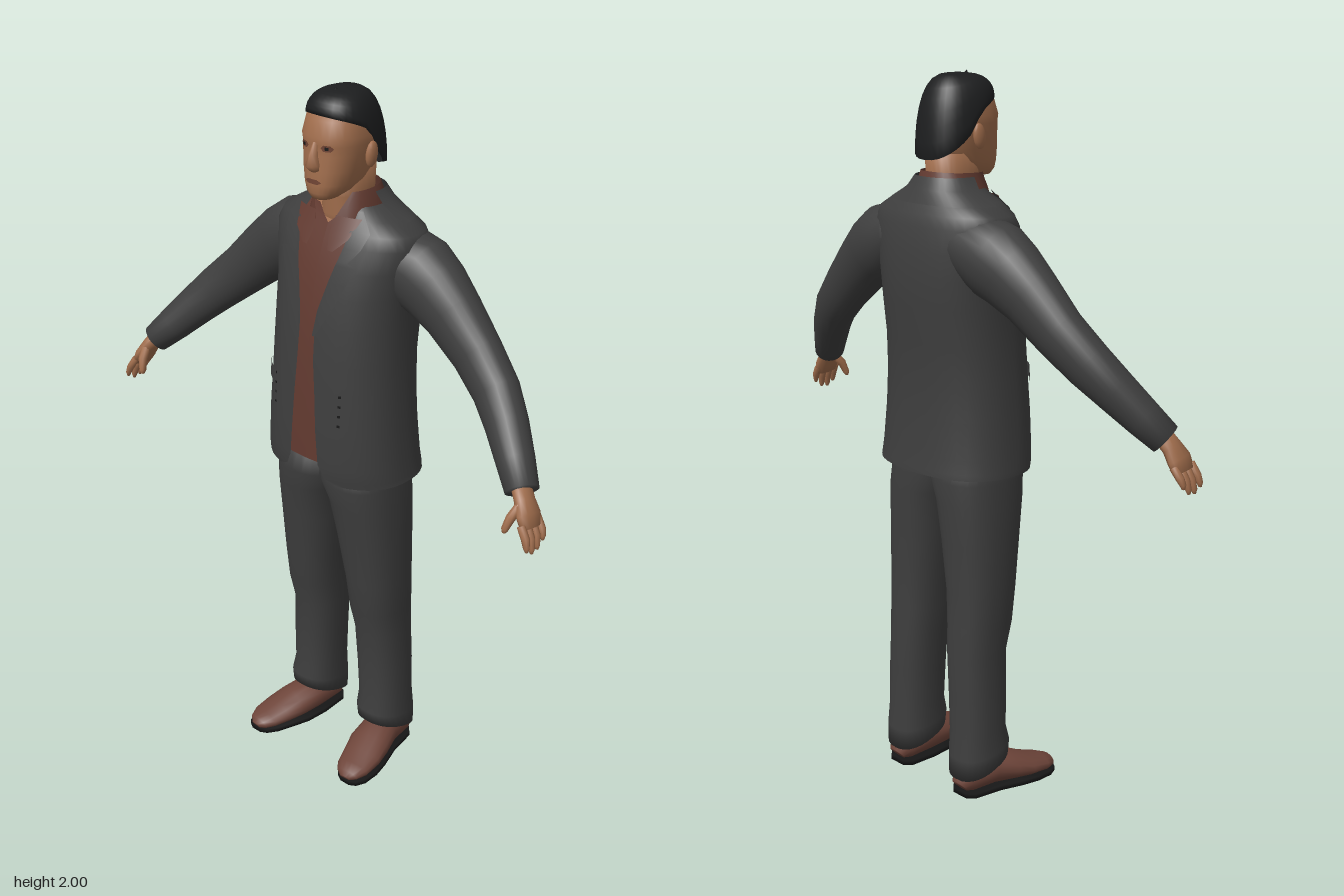
import * as THREE from 'three';

const E = 0.85; // slightly boxy ellipse exponent
const V3 = (x, y, z) => new THREE.Vector3(x, y, z);
const spow = (v) => Math.sign(v) * Math.pow(Math.abs(v), E);
const lerp = THREE.MathUtils.lerp;

const mat = (name, color, side = THREE.FrontSide) => {
  const m = new THREE.MeshStandardMaterial({ color, side });
  m.name = name;
  return m;
};

// Skin a list of rings (equal point counts), optionally closed and capped
function loft(rings, closed = true, cap = true) {
  const list = [...rings];
  if (cap) {
    const mid = (r) => {
      const c = r.reduce((s, p) => s.add(p), V3(0, 0, 0)).divideScalar(r.length);
      return r.map(() => c.clone());
    };
    list.unshift(mid(rings[0]));
    list.push(mid(rings[rings.length - 1]));
  }
  const n = list[0].length, idx = [];
  for (let i = 0; i < list.length - 1; i++) {
    for (let j = 0; j < (closed ? n : n - 1); j++) {
      const a = i * n + j, b = i * n + (j + 1) % n;
      idx.push(a, b, a + n, b, b + n, a + n);
    }
  }
  const g = new THREE.BufferGeometry().setFromPoints(list.flat());
  g.setIndex(idx);
  g.computeVertexNormals();
  return g;
}

// Point on a horizontal section [y, xMin, xMax, zFront, zBack], angle 0 = front
function onSection([y, x0, x1, zf, zb], a, off = 0, slope = 0) {
  const z = (zf + zb) / 2 + ((zf - zb) / 2 + off) * spow(Math.cos(a));
  return V3((x0 + x1) / 2 + ((x1 - x0) / 2 + off) * spow(Math.sin(a)), y + slope * z, z);
}
const arc = (r, a0, a1, n, off, slope) =>
  Array.from({ length: n + 1 }, (_, j) => onSection(r, lerp(a0, a1, j / n), off, slope));
const ring = (r, off, slope) => arc(r, 0, Math.PI * 2, 28, off, slope).slice(0, 28);
const sym = (rows) => rows.map(([y, w, zf, zb]) => [y, -w, w, zf, zb]);
const angleAt = (r, x) => Math.sign(x) * Math.asin(Math.min(1, Math.pow(Math.abs(x) / r[2], 1 / E)));

function rowAt(rows, y) {
  let i = 0;
  while (i < rows.length - 2 && rows[i + 1][0] < y) i++;
  const t = (y - rows[i][0]) / (rows[i + 1][0] - rows[i][0]);
  return rows[i].map((v, k) => lerp(v, rows[i + 1][k], t));
}

// Thin panel following a body surface; spans are [y, xFrom, xTo]
const patch = (rows, spans, off) => loft(spans.map(([y, xa, xb]) => {
  const r = rowAt(rows, y);
  return arc(r, angleAt(r, xa), angleAt(r, xb), 6, off);
}), false, false);

// Tapered limb along points [x, y, z, radiusAlongHint, radiusAcross]
function limb(pts, hint, n = 16) {
  const c = pts.map((p) => V3(p[0], p[1], p[2]));
  return loft(pts.map((p, i) => {
    const T = c[Math.min(i + 1, c.length - 1)].clone().sub(c[Math.max(i - 1, 0)]).normalize();
    const U = hint.clone().addScaledVector(T, -hint.dot(T)).normalize();
    const W = T.clone().cross(U);
    return Array.from({ length: n }, (_, j) => {
      const a = j / n * Math.PI * 2;
      return c[i].clone().addScaledVector(U, p[3] * Math.cos(a)).addScaledVector(W, p[4] * Math.sin(a));
    });
  }));
}

function mirrored(geo) {
  const g = geo.clone().scale(-1, 1, 1);
  const ix = Array.from(g.index.array);
  for (let i = 0; i < ix.length; i += 3) [ix[i], ix[i + 1]] = [ix[i + 1], ix[i]];
  g.setIndex(ix);
  g.computeVertexNormals();
  return g;
}

export function createModel() {
  const model = new THREE.Group();
  model.name = 'manInSuit';
  const suit = mat('charcoalCloth', 0x3e3e3e, THREE.DoubleSide);
  const shirtMat = mat('brownShirt', 0x623a30, THREE.DoubleSide);
  const skin = mat('skin', 0xa06d4c);
  const hairMat = mat('blackHair', 0x1d1e1f, THREE.DoubleSide);
  const leather = mat('brownLeather', 0x6e453a);
  const black = mat('blackSole', 0x161616);
  const lip = mat('lipsAndLids', 0x6e4333);

  const add = (name, geo, m) => {
    const mesh = new THREE.Mesh(geo, m);
    mesh.name = name;
    model.add(mesh);
  };
  const pair = (name, geo, m) => {
    add(name + 'Left', geo, m);
    add(name + 'Right', mirrored(geo), m);
  };

  // Torso sections: y, half width, front z, back z
  const torso = sym([
    [0.945, 0.226, 0.148, -0.18], [0.96, 0.225, 0.152, -0.179], [1.0, 0.221, 0.156, -0.174],
    [1.1, 0.213, 0.155, -0.167], [1.2, 0.205, 0.15, -0.166], [1.3, 0.2, 0.145, -0.172],
    [1.4, 0.2, 0.135, -0.184], [1.48, 0.205, 0.12, -0.187], [1.55, 0.218, 0.104, -0.184],
    [1.61, 0.23, 0.082, -0.174], [1.642, 0.215, 0.068, -0.163], [1.672, 0.165, 0.056, -0.146],
    [1.7, 0.1, 0.046, -0.13],
  ]);

  // Open jacket: half width of the front gap at each section
  const gaps = [0.105, 0.07, 0.05, 0.042, 0.036, 0.028, 0.026, 0.042, 0.062, 0.078, 0.082, 0.085, 0.08];
  add('jacketBody', loft(torso.map((r, i) => {
    const a = angleAt(r, gaps[i]);
    return arc(r, a, Math.PI * 2 - a, 36);
  }), false, false), suit);
  pair('lapel', patch(torso, [[1.37, 0.024, 0.032], [1.44, 0.033, 0.07], [1.52, 0.054, 0.105],
    [1.565, 0.066, 0.128], [1.575, 0.069, 0.1], [1.61, 0.078, 0.125], [1.65, 0.083, 0.135],
    [1.695, 0.08, 0.09]], 0.007), suit);
  pair('pocketFlap', patch(torso, [[1.185, 0.1, 0.18], [1.225, 0.1, 0.18]], 0.005), suit);
  for (let i = 0; i < 4; i++) {
    const y = 1.13 + i * 0.028;
    pair('button' + i, patch(torso, [[y, 0.108, 0.115], [y + 0.007, 0.108, 0.115]], 0.006), black);
  }
  const jacketCollar = sym([[1.665, 0.178, 0.058, -0.15], [1.7, 0.112, 0.05, -0.136], [1.732, 0.088, 0.044, -0.12]]);
  add('jacketCollar', loft(jacketCollar.map((r) => arc(r, 1.5, Math.PI * 2 - 1.5, 20)), false, false), suit);

  // Shirt closed to the throat, with the neck base beneath it
  const shirtRows = [1.0, 1.1, 1.2, 1.3, 1.4, 1.48, 1.55, 1.61, 1.65, 1.67, 1.69].map((y) => rowAt(torso, y));
  add('shirtBody', loft(shirtRows.map((r) => {
    const a = angleAt(r, Math.max(0, (r[0] - 1.65) * 1.2));
    return arc(r, a, Math.PI * 2 - a, 36, -0.011);
  }), false, false), shirtMat);
  add('shirtHem', loft([ring(shirtRows[0], -0.012), ring(rowAt(torso, 1.02), -0.012)]), shirtMat);
  add('neckBase', loft([1.6, 1.64, 1.69].map((y) => ring(rowAt(torso, y), -0.018))), skin);
  const collar = sym([[1.66, 0.1, 0.072, -0.125], [1.7, 0.092, 0.062, -0.117], [1.74, 0.078, 0.05, -0.105]]);
  add('shirtCollar', loft(collar.map((r, i) => {
    const a = angleAt(r, [0.026, 0.045, 0.06][i]);
    return arc(r, a, Math.PI * 2 - a, 28, 0, -0.04);
  }), false, false), shirtMat);
  pair('collarPoint', patch(torso, [[1.595, 0.035, 0.05], [1.63, 0.026, 0.085], [1.68, 0.032, 0.1]], 0.009), shirtMat);

  // Sleeves, blending into the shoulders
  pair('sleeve', limb([
    [0.05, 1.575, -0.066, 0.095, 0.06], [0.14, 1.56, -0.067, 0.096, 0.092], [0.215, 1.532, -0.067, 0.092, 0.105],
    [0.265, 1.503, -0.064, 0.083, 0.098], [0.33, 1.455, -0.058, 0.071, 0.086],
    [0.42, 1.375, -0.048, 0.06, 0.074], [0.5, 1.305, -0.026, 0.057, 0.067], [0.56, 1.245, 0.006, 0.054, 0.059],
    [0.62, 1.18, 0.045, 0.049, 0.051], [0.668, 1.128, 0.078, 0.045, 0.042],
  ], V3(0, 0, 1), 24), suit);

  // Hands: palm, four fingers and a thumb
  pair('palm', limb([[0.655, 1.145, 0.07, 0.028, 0.024], [0.682, 1.11, 0.085, 0.031, 0.022],
    [0.701, 1.08, 0.093, 0.041, 0.02], [0.715, 1.05, 0.097, 0.039, 0.014]], V3(0, 0, 1), 12), skin);
  [[0.064, 1.012], [0.086, 0.995], [0.108, 0.992], [0.13, 1.005]].forEach(([z, tip], i) => {
    pair('finger' + i, limb([[0.708, 1.065, z, 0.011, 0.011], [0.727, (1.065 + tip) / 2, z + 0.005, 0.011, 0.011],
      [0.734, tip + 0.01, z + 0.009, 0.008, 0.008], [0.735, tip, z + 0.009, 0.004, 0.004]], V3(0, 0, 1), 8), skin);
  });
  pair('thumb', limb([[0.686, 1.105, 0.105, 0.014, 0.014], [0.675, 1.075, 0.13, 0.013, 0.013],
    [0.667, 1.045, 0.14, 0.01, 0.01], [0.666, 1.035, 0.142, 0.005, 0.005]], V3(1, 0, 0), 8), skin);

  // Trouser legs: y, inner x, outer x, front z, back z
  const legRows = [
    [0.1, 0.06, 0.205, 0.037, -0.135], [0.14, 0.057, 0.207, 0.04, -0.134], [0.19, 0.06, 0.199, 0.03, -0.13],
    [0.3, 0.055, 0.198, 0.033, -0.13], [0.42, 0.048, 0.192, 0.038, -0.13], [0.5, 0.042, 0.197, 0.058, -0.127],
    [0.6, 0.034, 0.2, 0.07, -0.125], [0.75, 0.012, 0.2, 0.09, -0.13], [0.86, -0.006, 0.197, 0.108, -0.137],
    [0.92, -0.035, 0.193, 0.118, -0.137], [1.03, -0.04, 0.186, 0.122, -0.135],
  ];
  pair('trouserLeg', loft(legRows.map((r, i) => ring(r, 0, i === 0 ? 0.35 : i === 1 ? 0.2 : 0))), suit);

  // Shoes along z: z, centre x, half width, top height
  const shoeRows = [[-0.125, 0.135, 0.027, 0.05], [-0.105, 0.135, 0.046, 0.085], [-0.02, 0.14, 0.055, 0.105],
    [0.05, 0.155, 0.063, 0.085], [0.1, 0.169, 0.06, 0.064], [0.15, 0.178, 0.051, 0.05],
    [0.178, 0.181, 0.035, 0.04], [0.189, 0.182, 0.016, 0.028]];
  pair('shoe', limb(shoeRows.map(([z, x, w, h]) => [x, h / 2 + 0.005, z, h / 2 - 0.003, w]), V3(0, 1, 0)), leather);
  const soleRing = (y) => [...shoeRows.map(([z, x, w]) => V3(x + w, y, z)).reverse(),
    ...shoeRows.map(([z, x, w]) => V3(x - w, y, z))];
  pair('sole', loft([soleRing(0), soleRing(0.014)]), black);

  // Head and neck
  add('neck', loft(sym([[1.6, 0.07, 0.04, -0.1], [1.67, 0.062, 0.045, -0.1], [1.72, 0.058, 0.046, -0.097],
    [1.79, 0.062, 0.05, -0.1]]).map((r) => ring(r))), skin);
  const head = sym([[1.725, 0.03, 0.1, 0.02], [1.742, 0.05, 0.108, -0.02], [1.765, 0.064, 0.109, -0.06],
    [1.8, 0.075, 0.107, -0.085], [1.84, 0.083, 0.103, -0.095], [1.865, 0.086, 0.101, -0.097],
    [1.885, 0.087, 0.104, -0.096], [1.925, 0.082, 0.089, -0.088], [1.945, 0.072, 0.074, -0.075], [1.97, 0.035, 0.035, -0.05]]);
  add('head', loft(head.map((r) => ring(r))), skin);
  add('nose', limb([[0, 1.805, 0.1, 0.014, 0.018], [0, 1.818, 0.107, 0.024, 0.019],
    [0, 1.84, 0.103, 0.018, 0.012], [0, 1.872, 0.096, 0.008, 0.008]], V3(0, 0, 1), 10), skin);
  const ear = new THREE.SphereGeometry(1, 12, 8).scale(0.011, 0.034, 0.02).rotateX(-0.15).translate(0.089, 1.835, -0.012);
  pair('ear', ear, skin);
  pair('eyelid', patch(head, [[1.854, 0.027, 0.045], [1.862, 0.02, 0.052], [1.87, 0.027, 0.045]], 0.002), lip);
  pair('pupil', patch(head, [[1.858, 0.031, 0.041], [1.866, 0.031, 0.041]], 0.003), black);
  add('mouth', patch(head, [[1.768, -0.015, 0.015], [1.774, -0.026, 0.026], [1.78, -0.013, 0.013]], 0.003), lip);

  // Hair cap rising from a sloped hairline to the crown
  const hairRings = [];
  for (let i = 0; i <= 9; i++) {
    const t = Math.max(0, i - 1) / 8 * Math.PI / 2;
    const k = i === 0 ? 0.88 : Math.pow(Math.max(0, Math.cos(t)), 0.6);
    hairRings.push(Array.from({ length: 32 }, (_, j) => {
      const a = j / 32 * Math.PI * 2, c = Math.cos(a);
      const base = c > 0 ? 1.88 + 0.058 * Math.sqrt(c) : 1.88 - 0.105 * Math.pow(-c, 0.6);
      return V3(0.092 * k * spow(Math.sin(a)), lerp(base, 1.992, Math.sin(t)), -0.017 + 0.105 * k * spow(c));
    }));
  }
  add('hair', loft(hairRings, true, false), hairMat);

  // Short tufts along the top
  for (let i = 0; i < 5; i++) {
    const tuft = new THREE.ConeGeometry(0.018, 0.03, 6).rotateX(0.5)
      .translate((i - 2) * 0.013, 1.984 - Math.abs(i - 2) * 0.004, 0.02 - (i % 2) * 0.03);
    add('hairTuft' + i, tuft, hairMat);
  }

  return model;
}
